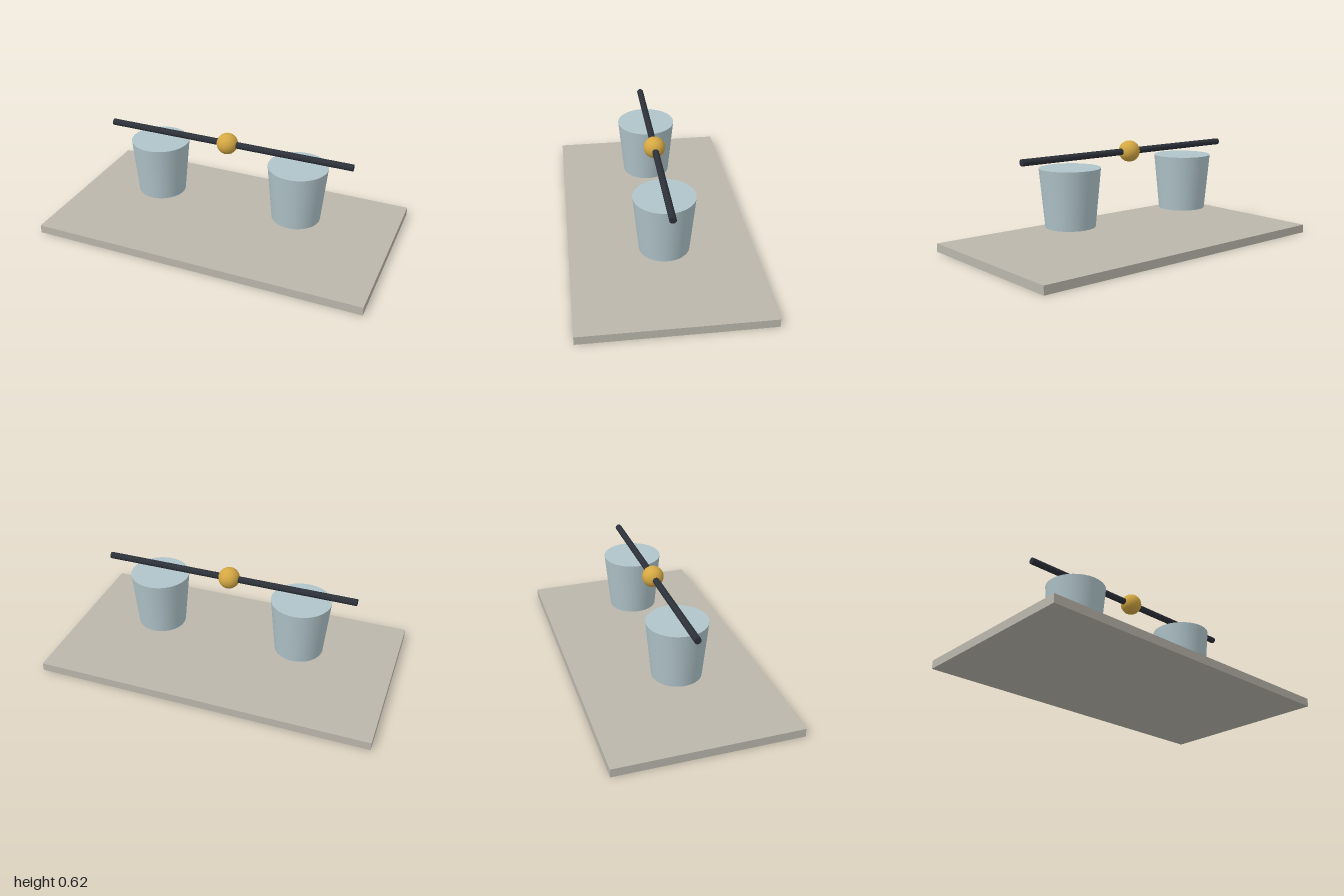
import * as THREE from 'three';

function material(name, color) {
  const m = new THREE.MeshStandardMaterial({ color });
  m.name = name;
  return m;
}

export function createModel() {
  const stone = material('warm grey stone', 0xbab6ac);
  const paleBlue = material('pale blue', 0xb0c4ca);
  const charcoal = material('charcoal', 0x2c3038);
  const gold = material('gold', 0xd4a843);

  const model = new THREE.Group();
  model.name = 'balance';

  function add(name, geometry, mat, x, y) {
    const mesh = new THREE.Mesh(geometry, mat);
    mesh.name = name;
    mesh.position.set(x, y, 0);
    model.add(mesh);
    return mesh;
  }

  // Slab base
  const baseHeight = 0.05;
  add('base', new THREE.BoxGeometry(2, baseHeight, 1.077), stone, 0, baseHeight / 2);

  // Two tapered buckets floating between the base and the beam
  const bucketBottom = 0.162, bucketTop = 0.498;
  const bucket = new THREE.CylinderGeometry(0.175, 0.143, bucketTop - bucketBottom, 48);
  for (const [name, side] of [['leftBucket', 1], ['rightBucket', -1]]) {
    add(name, bucket, paleBlue, side * 0.44, (bucketTop + bucketBottom) / 2);
  }

  // Horizontal beam through the central ball
  const beamY = 0.555;
  add('beam', new THREE.CylinderGeometry(0.0195, 0.0195, 1.519, 24), charcoal, 0, beamY)
    .rotation.z = Math.PI / 2;
  add('pivotBall', new THREE.SphereGeometry(0.063, 32, 24), gold, 0, beamY);

  return model;
}
